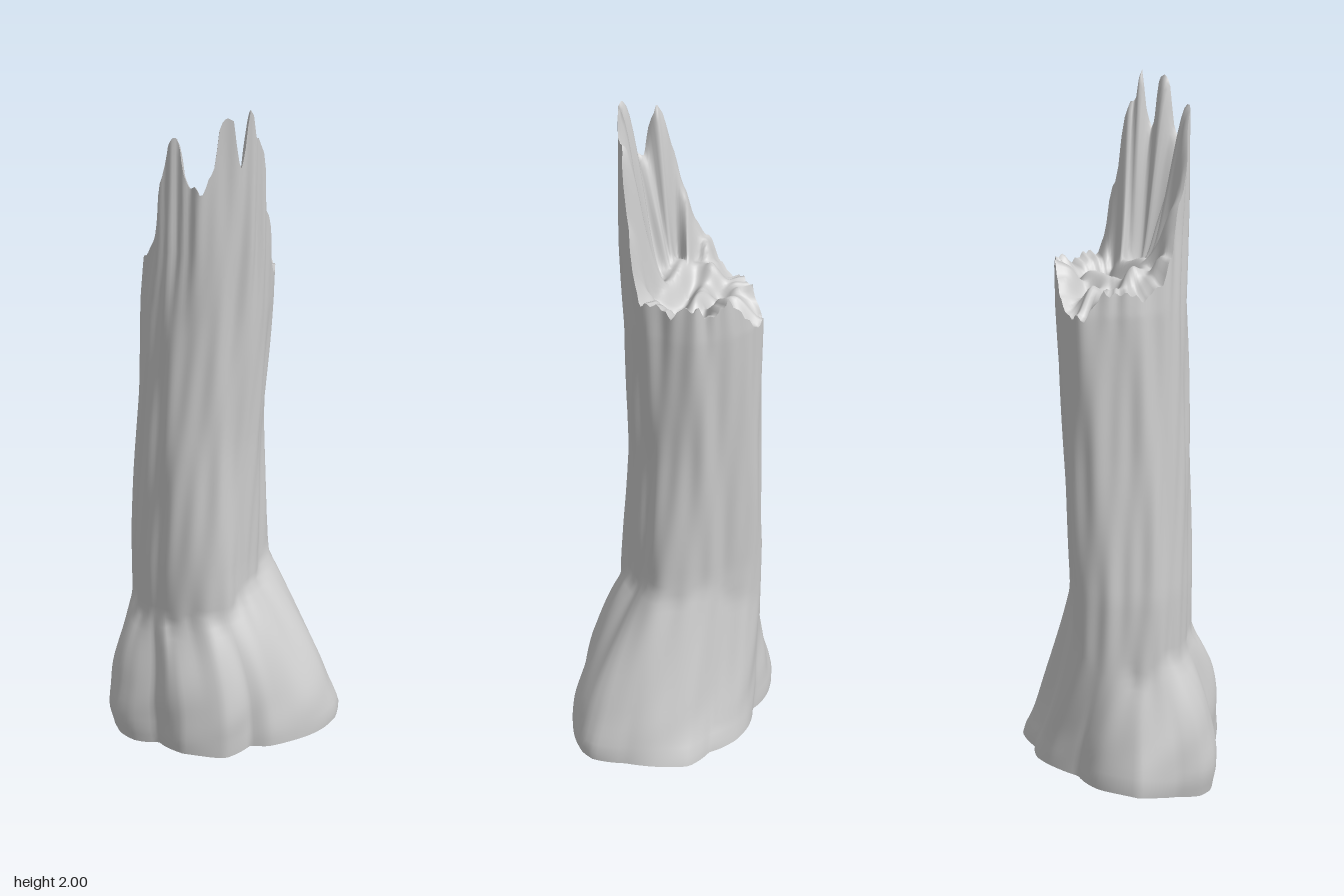
import * as THREE from 'three';

const SEG = 144, RAD = Math.PI / 180;
const clamp = THREE.MathUtils.clamp, smooth = THREE.MathUtils.smoothstep, mix = THREE.MathUtils.lerp;

// Piecewise interpolation of [key, ...values] rows
function table(rows, k) {
  if (k <= rows[0][0]) return rows[0].slice(1);
  for (let i = 1; i < rows.length; i++) {
    if (k <= rows[i][0]) {
      const a = rows[i - 1], b = rows[i], t = (k - a[0]) / (b[0] - a[0]);
      return a.slice(1).map((v, n) => mix(v, b[n + 1], t));
    }
  }
  return rows[rows.length - 1].slice(1);
}

// Stem section by height: centre x, centre z, radius x, radius z
const STEM = [
  [0, -0.065, 0.025, 0.19, 0.165], [0.6, -0.075, 0.027, 0.184, 0.163],
  [1.0, -0.06, 0.015, 0.175, 0.171], [1.4, -0.044, 0, 0.175, 0.176],
  [1.6, -0.029, 0, 0.164, 0.176], [2, -0.02, 0.006, 0.157, 0.179],
];
// Outline of the root flare: angle in degrees (from +x towards +z), radius
const ROOTS = [
  [-18, 0.353], [-7, 0.337], [14, 0.3], [27, 0.28], [37, 0.25], [54, 0.286], [80, 0.287], [104, 0.257],
  [117, 0.305], [127, 0.33], [137, 0.338], [150, 0.322], [172, 0.344], [194, 0.289], [211, 0.24],
  [234, 0.256], [247, 0.26], [268, 0.252], [284, 0.298], [303, 0.31], [319, 0.32], [335, 0.353], [342, 0.353],
];
// How the roots climb: angle, height reached, fullness of the shoulder
const RISE = [
  [-18, 0.55, 1.35], [20, 0.5, 1.6], [45, 0.47, 2.4], [65, 0.44, 2.7], [90, 0.43, 3.2], [104, 0.4, 2.6],
  [125, 0.41, 2.2], [150, 0.4, 1.6], [172, 0.37, 1.2], [220, 0.42, 1], [270, 0.55, 0.62],
  [300, 0.55, 0.85], [342, 0.55, 1.35],
];
// Height of the broken rim by angle: tall splintered front, low back
const RIM = [
  [-20, 1.5], [-13, 1.56], [-8, 1.66], [-3, 1.73], [2, 1.86], [7, 1.91], [12, 1.91], [15, 1.98], [18, 2.0],
  [22, 1.9], [27, 1.84], [31, 1.87], [35, 1.98], [41, 1.99], [47, 1.97], [52, 1.86], [60, 1.8], [70, 1.79],
  [79, 1.82], [84, 1.89], [91, 1.935], [98, 1.9], [105, 1.81], [114, 1.69], [125, 1.6], [137, 1.52],
  [148, 1.46], [165, 1.44], [180, 1.46], [195, 1.47], [204, 1.41], [215, 1.39], [232, 1.4], [242, 1.47],
  [255, 1.52], [265, 1.47], [275, 1.48], [290, 1.51], [310, 1.48], [340, 1.5],
];

// Angle in degrees, wrapped so that it ends at a table's last key
const degrees = (a, end) => { const d = (a / RAD) % 360; return d > end ? d - 360 : d; };

// Smooth bump around an angle
const bump = (a, centre) => Math.pow(Math.max(0, Math.cos(a - centre * RAD)), 8);

function rimHeight(a) {
  const h = table(RIM, degrees(a, 340))[0];
  const jag = 0.01 * Math.sin(a * 17 + 2 * Math.sin(a * 5)) + 0.006 * Math.sin(a * 37 + 1);
  return h + (h > 1.83 ? 0 : jag);
}

function baseHeight(a) {
  const d = Math.abs(degrees(a, 342) - 125);
  return 0.055 - 0.055 * (1 - smooth(d, 0, 62)) + 0.006 * Math.sin(a * 5) * smooth(d, 20, 62);
}

// Point of the bark at an angle and height
function barkPoint(a, y) {
  const [cx, cz, rx, rz] = table(STEM, y);
  const ridges = 0.003 * Math.sin(a * 5 + 1.3 * y) + 0.003 * Math.sin(a * 9 + 2 * Math.sin(y * 2.3))
    + 0.003 * Math.sin(a * 17 + y * 3) * Math.sin(y * 7 + a * 2);
  // Blunt corners of the stem, strongest above the roots
  const low = 1 - smooth(y, 0.5, 1.1);
  const corners = 0.022 * bump(a, 225) + 0.036 * low * (bump(a, 45) + bump(a, 315));
  const splinter = smooth(y, 1.3, 1.7) * 0.005 * Math.sin(a * 19 + y * 4 + 2 * Math.sin(a * 4));
  const k = 1 + (ridges + corners + splinter) / 0.17;
  const sx = cx + rx * k * Math.cos(a), sz = cz + rz * k * Math.sin(a);
  // Blend into the roots
  const d = degrees(a, 342), [reach, power] = table(RISE, d);
  const top = reach + 0.015 * Math.sin(a * 8);
  const flare = 1 - Math.pow(clamp((y - 0.07) / (top - 0.07), 0, 1), power);
  const r = table(ROOTS, d)[0] * (0.96 + 0.04 * smooth(y, -0.01, 0.07));
  const lump = 0.009 * Math.sin(a * 7 + 12 * y) * flare * smooth(y, 0.08, 0.2);
  return new THREE.Vector3(
    mix(sx, (r + lump) * Math.cos(a), flare), y, mix(sz, (r + lump) * Math.sin(a), flare));
}

// Closed loft through rings of points
function loft(rings, pointAt) {
  const pos = [], idx = [];
  for (let i = 0; i < rings; i++) {
    for (let j = 0; j < SEG; j++) pos.push(...pointAt(i / (rings - 1), (j / SEG) * Math.PI * 2).toArray());
  }
  for (let i = 0; i < rings - 1; i++) {
    for (let j = 0; j < SEG; j++) {
      const n = (j + 1) % SEG, a = i * SEG + j, b = i * SEG + n, c = a + SEG, d = b + SEG;
      idx.push(a, c, b, b, c, d);
    }
  }
  const g = new THREE.BufferGeometry();
  g.setAttribute('position', new THREE.Float32BufferAttribute(pos, 3));
  g.setIndex(idx);
  g.computeVertexNormals();
  return g;
}

export function createModel() {
  const group = new THREE.Group();
  group.name = 'brokenTreeTrunk';
  const material = new THREE.MeshStandardMaterial({ color: 0xcccccc, roughness: 0.9, side: THREE.DoubleSide });
  const add = (name, geometry) => {
    const mesh = new THREE.Mesh(geometry, material);
    mesh.name = name;
    group.add(mesh);
  };

  // Bark, open underneath: even rings up the stem, then rings stretched to the broken rim
  add('bark', loft(64, (t, a) => {
    const y = t < 0.75 ? mix(baseHeight(a), 1.3, t / 0.75) : mix(1.3, rimHeight(a), (t - 0.75) / 0.25);
    return barkPoint(a, y);
  }));

  // Splintered break: thin standing shell at the front, rough floor inside
  const core = new THREE.Vector3(-0.04, 0, -0.01);
  add('brokenTop', loft(24, (t, a) => {
    const top = rimHeight(a), rim = barkPoint(a, top), f = 1 - t;
    const x = mix(core.x, rim.x, f), z = mix(core.z, rim.z, f);
    const rough = 0.016 * Math.sin(x * 50 + 3 * Math.sin(z * 21)) + 0.014 * Math.sin(z * 62 + 2 * Math.sin(x * 33 + 1));
    const floor = 1.45 + 0.6 * clamp(z + 0.03, 0, 0.12) + rough * smooth(t, 0, 0.12);
    const edge = 0.48 + 0.12 * bump(a, 5) + 0.1 * Math.sin(a * 7 + 2 * Math.sin(a * 3)) + 0.05 * Math.sin(a * 15 + 2);
    const w = Math.pow(1 - smooth(t, 0, edge), 1.1);
    return new THREE.Vector3(x, mix(floor, top, w), z);
  }));

  return group;
}
